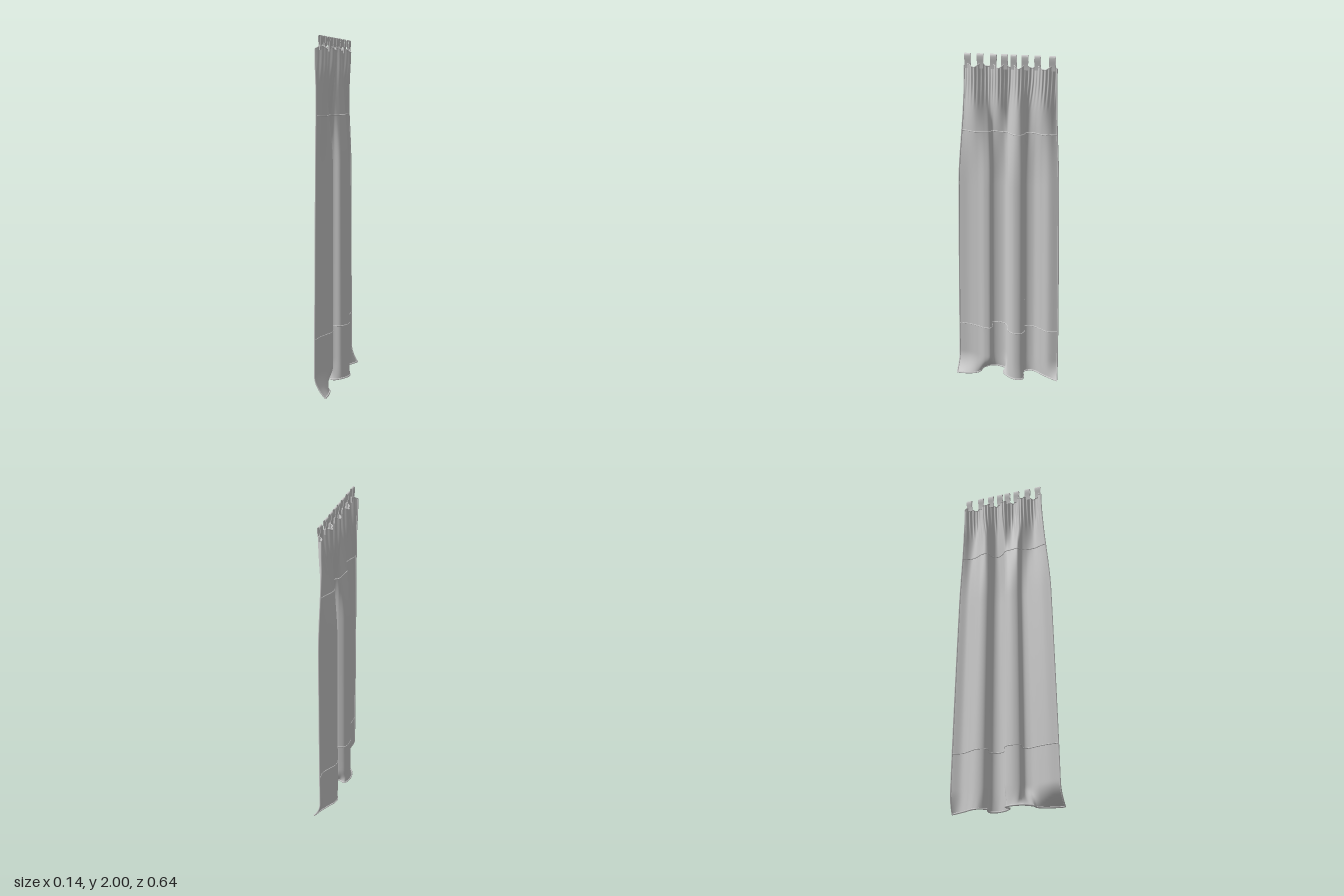
import * as THREE from 'three';

const TOP = 1.93;
const TABS = [0.22, 0.152, 0.08, 0.02, -0.03, -0.09, -0.158, -0.237];
const curve = (pts) => new THREE.CatmullRomCurve3(pts.map(([x, z]) => new THREE.Vector3(x, 0, z)));

// Plan of the hanging folds, from the +z edge to the -z edge
const folds = curve([
  [-0.012, 0.31], [-0.008, 0.25], [0.008, 0.19], [0.026, 0.14], [0.022, 0.105], [-0.015, 0.1], [-0.052, 0.108],
  [-0.064, 0.07], [-0.052, 0.025], [-0.015, 0.005], [0.03, -0.005], [0.06, -0.045], [0.055, -0.09],
  [0.018, -0.108], [-0.02, -0.088], [-0.048, -0.105], [-0.053, -0.15], [-0.025, -0.2], [0, -0.25], [-0.008, -0.31],
]);
// Plan of the lower edge where it spreads on the ground
const spread = curve([
  [0.054, 0.315], [0.051, 0.26], [0.036, 0.2], [0.012, 0.172], [-0.02, 0.168], [-0.052, 0.138], [-0.066, 0.11],
  [-0.066, 0.06], [-0.045, 0.02], [-0.005, 0.03], [0.03, 0.005], [0.064, -0.06], [0.052, -0.1],
  [0.015, -0.1], [-0.025, -0.09], [-0.053, -0.13], [-0.048, -0.165], [-0.02, -0.21], [0.008, -0.26], [0.033, -0.313],
]);

const NU = 260, NV = 130;
const foldPts = folds.getSpacedPoints(NU), spreadPts = spread.getSpacedPoints(NU);

// Pleat phase: whole numbers fall on the tabs
function phase(z) {
  if (z > TABS[0]) return (TABS[0] - z) / 0.06;
  for (let i = 0; i < 7; i++) if (z >= TABS[i + 1]) return i + (TABS[i] - z) / (TABS[i] - TABS[i + 1]);
  return 7 + (TABS[7] - z) / 0.06;
}

// Point on the cloth: column i, height fraction t
function clothPoint(i, t) {
  const u = i / NU, y = t * TOP;
  const zTop = THREE.MathUtils.lerp(0.245, -0.26, u), p = phase(zTop);
  const gather = THREE.MathUtils.smoothstep(y, 1.25, TOP);
  const floor = Math.max(0, 1 - y / 0.12) ** 2;
  const hang = foldPts[i];
  let x = hang.x * (1 - 0.22 * t), z = hang.z * (1 - 0.13 * t ** 1.3);
  x += (spreadPts[i].x - x) * floor;
  z += (spreadPts[i].z - z) * floor;
  x += (-0.003 + 0.021 * Math.sin(Math.PI * p) - x) * gather;
  z += (zTop - z) * gather;
  // fine creases below the tabs
  const crease = THREE.MathUtils.smoothstep(y, 1.68, 1.86);
  x += crease * 0.003 * Math.sin(u * 173 + 2 * Math.sin(y * 9));
  const scallop = gather ** 4 * 0.008 * Math.cos(2 * Math.PI * p);
  return new THREE.Vector3(x, 0.005 + y + scallop, z);
}

function clothGeometry() {
  const pos = [], index = [], w = NU + 1;
  for (let j = 0; j <= NV; j++)
    for (let i = 0; i <= NU; i++) pos.push(...clothPoint(i, (j / NV) ** 1.15).toArray());
  for (let j = 0; j < NV; j++)
    for (let i = 0; i < NU; i++) {
      const a = j * w + i;
      index.push(a, a + 1, a + w + 1, a, a + w + 1, a + w);
    }
  const g = new THREE.BufferGeometry();
  g.setAttribute('position', new THREE.Float32BufferAttribute(pos, 3));
  g.setIndex(index);
  g.computeVertexNormals();
  return g;
}

// Strap loop, pinched where it meets the cloth
function tabGeometry() {
  const outline = (target, s, y0) => {
    target.moveTo(-0.003 * s, y0);
    target.bezierCurveTo(-0.005 * s, 1.955, -0.009 * s, 1.96, -0.009 * s, 1.98);
    target.bezierCurveTo(-0.009 * s, 1.993 + 0.007 * s, 0.009 * s, 1.993 + 0.007 * s, 0.009 * s, 1.98);
    target.bezierCurveTo(0.009 * s, 1.96, 0.005 * s, 1.955, 0.003 * s, y0);
    target.closePath();
    return target;
  };
  const shape = outline(new THREE.Shape(), 1, 1.915);
  shape.holes.push(outline(new THREE.Path(), 0.7, 1.945));
  const g = new THREE.ExtrudeGeometry(shape, { depth: 0.034, bevelEnabled: false, curveSegments: 10 });
  return g.translate(-0.005, 0.004, -0.017);
}

export function createModel() {
  const model = new THREE.Group();
  model.name = 'curtain';
  const material = new THREE.MeshStandardMaterial({ color: 0xcccccc, side: THREE.DoubleSide });
  const add = (name, geometry) => {
    const mesh = new THREE.Mesh(geometry, material);
    mesh.name = name;
    model.add(mesh);
    return mesh;
  };
  const cord = (name, pts, r) =>
    add(name, new THREE.TubeGeometry(new THREE.CatmullRomCurve3(pts), 240, r, 6));

  add('cloth', clothGeometry());

  // Seams and hems across the width
  const row = (t) => Array.from({ length: NU / 2 + 1 }, (_, k) => clothPoint(k * 2, t));
  cord('upperSeam', row(1.565 / TOP), 0.003);
  cord('lowerSeam', row(0.325 / TOP), 0.003);
  cord('bottomHem', row(0), 0.005);
  cord('topHem', row(1), 0.003);

  // Hems down both side edges
  const column = (i) => Array.from({ length: 81 }, (_, k) => clothPoint(i, (k / 80) ** 1.3));
  cord('leftSideHem', column(0), 0.004);
  cord('rightSideHem', column(NU), 0.004);

  // Hanging tabs
  const tab = tabGeometry();
  TABS.forEach((z) => { add('tab', tab).position.z = z; });
  return model;
}
